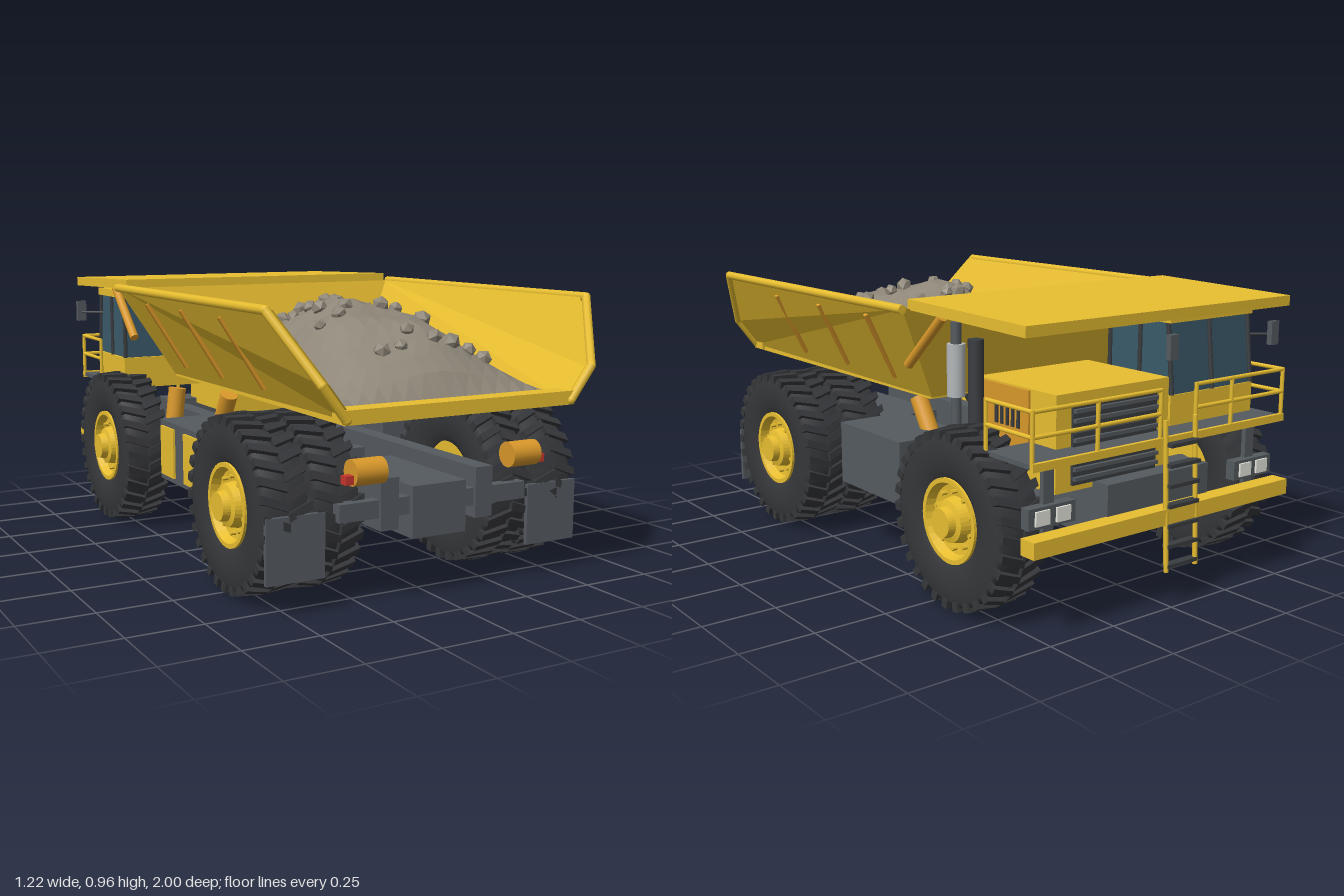
import * as THREE from 'three';
import { mergeGeometries } from 'three/addons/utils/BufferGeometryUtils.js';

const mat = (color, opts = {}) => {
  const m = new THREE.MeshStandardMaterial(opts);
  m.color.set(color);
  return m;
};
const yellow = mat(0xe8be30), panelYellow = mat(0xe8be30, { flatShading: true, side: THREE.DoubleSide });
const orange = mat(0xd9982a), grey = mat(0x555b60), dark = mat(0x3a3d40), rubber = mat(0x36373a);
const glass = mat(0x3b5b6b), silver = mat(0xb4b8ba), red = mat(0xc8352b), white = mat(0xe8e8e0);
const gravel = mat(0x8e8678, { flatShading: true });
const V = (x, y, z) => new THREE.Vector3(x, y, z);

function add(parent, name, geometry, material) {
  const mesh = new THREE.Mesh(geometry, material);
  mesh.name = name;
  parent.add(mesh);
  return mesh;
}
function box(parent, name, material, [x0, x1], [y0, y1], [z0, z1]) {
  const m = add(parent, name, new THREE.BoxGeometry(Math.abs(x1 - x0), y1 - y0, z1 - z0), material);
  m.position.set((x0 + x1) / 2, (y0 + y1) / 2, (z0 + z1) / 2);
  return m;
}
function rod(parent, name, material, a, b, r, sides = 12) {
  const d = b.clone().sub(a);
  const m = add(parent, name, new THREE.CylinderGeometry(r, r, d.length(), sides), material);
  m.position.copy(a).add(b).multiplyScalar(0.5);
  m.quaternion.setFromUnitVectors(V(0, 1, 0), d.normalize());
  return m;
}
function rail(parent, name, material, points, r) {
  for (let i = 1; i < points.length; i++) rod(parent, name, material, points[i - 1], points[i], r, 8);
}
// Flat polygon drawn as a triangle fan from its first point
function panel(parent, name, points) {
  const pos = [];
  for (let i = 1; i < points.length - 1; i++) for (const p of [points[0], points[i], points[i + 1]]) pos.push(p.x, p.y, p.z);
  const g = new THREE.BufferGeometry();
  g.setAttribute('position', new THREE.Float32BufferAttribute(pos, 3));
  g.computeVertexNormals();
  return add(parent, name, g, panelYellow);
}

// Tyre turned around the x axis, with chevron lugs
function tyreGeometry(width) {
  const w = width / 2;
  const profile = [[0.13, -w * 0.75], [0.16, -w * 0.95], [0.21, -w], [0.255, -w * 0.97], [0.272, -w * 0.85], [0.278, 0],
    [0.272, w * 0.85], [0.255, w * 0.97], [0.21, w], [0.16, w * 0.95], [0.13, w * 0.75]];
  const body = new THREE.LatheGeometry(profile.map(p => new THREE.Vector2(...p)), 48).rotateZ(-Math.PI / 2);
  const parts = [body];
  const count = 30;
  for (let i = 0; i < count; i++) for (const s of [-1, 1]) {
    const lug = new THREE.BoxGeometry(w * 1.02, 0.03, 0.027);
    const p = lug.attributes.position;
    for (let k = 0; k < p.count; k++) {
      const outer = p.getX(k) * s > 0;
      p.setZ(k, p.getZ(k) + (outer ? 0.016 : -0.016));
      if (outer) p.setY(k, p.getY(k) - 0.007);
    }
    lug.translate(s * w * 0.49, 0.277, 0).rotateX((i + (s > 0 ? 0.5 : 0)) / count * Math.PI * 2);
    parts.push(lug);
  }
  return mergeGeometries(parts);
}
function rimGeometry() {
  const profile = [[0, -0.05], [0.13, -0.05], [0.137, 0.062], [0.137, 0.075], [0.122, 0.075], [0.112, 0.045],
    [0.075, 0.04], [0.068, 0.075], [0.05, 0.08], [0.046, 0.105], [0, 0.105]];
  const parts = [new THREE.LatheGeometry(profile.map(p => new THREE.Vector2(...p)), 32).toNonIndexed()];
  parts[0].computeVertexNormals();
  for (let i = 0; i < 10; i++) {
    const a = i / 10 * Math.PI * 2;
    parts.push(new THREE.CylinderGeometry(0.007, 0.007, 0.022, 6).toNonIndexed()
      .translate(0.092 * Math.cos(a), 0.05, 0.092 * Math.sin(a)));
  }
  return mergeGeometries(parts).rotateZ(-Math.PI / 2);
}

function buildWheels(root) {
  const tyre = tyreGeometry(0.165), rim = rimGeometry();
  rim.computeVertexNormals();
  for (const s of [-1, 1]) for (const [name, x, z] of [['frontWheel', 0.505, -0.6], ['rearOuterWheel', 0.505, 0.535], ['rearInnerWheel', 0.325, 0.535]]) {
    const wheel = new THREE.Group();
    wheel.name = name;
    wheel.position.set(s * x, 0.291, z);
    wheel.rotation.y = s < 0 ? Math.PI : 0;
    add(wheel, 'tyre', tyre, rubber);
    add(wheel, 'rim', rim, yellow);
    root.add(wheel);
  }
}

function buildChassis(root) {
  const g = new THREE.Group();
  g.name = 'chassis';
  root.add(g);
  for (const s of [-1, 1]) {
    box(g, 'frameRail', grey, [s * 0.145, s * 0.21], [0.235, 0.4], [-0.9, 0.86]);
    box(g, 'sideTank', grey, [s * 0.23, s * 0.5], [0.23, 0.45], [-0.21, 0.17]);
    box(g, 'mudFlap', grey, [s * 0.385, s * 0.585], [0.105, 0.31], [0.81, 0.825]);
    rod(g, 'hoistCylinder', orange, V(s * 0.3, 0.38, -0.14), V(s * 0.3, 0.55, -0.035), 0.032, 16);
    rod(g, 'rearCanister', orange, V(s * 0.235, 0.44, 0.9), V(s * 0.342, 0.44, 0.9), 0.041, 24);
    box(g, 'tailLight', red, [s * 0.342, s * 0.37], [0.408, 0.435], [0.89, 0.92]);
    rod(g, 'frontSuspension', orange, V(s * 0.3, 0.25, -0.6), V(s * 0.27, 0.5, -0.6), 0.035, 16);
  }
  for (const z of [-0.13, 0.08]) box(g, 'tankPanel', yellow, [-0.508, -0.49], [0.25, 0.43], [z - 0.06, z + 0.06]);
  for (const z of [-0.8, -0.3, 0.15]) box(g, 'crossMember', grey, [-0.15, 0.15], [0.27, 0.35], [z - 0.03, z + 0.03]);
  box(g, 'rearCrossBeam', grey, [-0.35, 0.35], [0.275, 0.332], [0.81, 0.85]);
  box(g, 'differential', grey, [-0.1, 0.1], [0.2, 0.367], [0.43, 0.87]);
  for (const z of [-0.6, 0.535]) rod(g, 'axle', grey, V(-0.48, 0.291, z), V(0.48, 0.291, z), 0.05, 16);
}

function gravelHeight(x, z) {
  const u = x / 0.39, v = (z - 0.335) / 0.585;
  const dome = Math.max(0, 1 - u * u) * Math.pow(Math.max(0, 1 - v * v), 0.8);
  return 0.636 + dome * (0.262 + 0.012 * Math.sin(17 * x + 9 * z) + 0.01 * Math.sin(23 * z - 13 * x));
}

function buildTray(root) {
  const g = new THREE.Group();
  g.name = 'dumpTray';
  root.add(g);
  box(g, 'floor', yellow, [-0.41, 0.41], [0.598, 0.634], [-0.27, 0.98]);
  box(g, 'tailLip', yellow, [-0.42, 0.42], [0.602, 0.645], [0.925, 0.995]);
  for (const s of [-1, 1]) {
    const side = off => [V(s * (0.592 - off), 0.925, -0.38), V(s * (0.41 - off), 0.605, -0.275), V(s * (0.41 - off), 0.615, 0.99),
      V(s * (0.49 - off), 0.72, 0.99), V(s * (0.592 - off), 0.925, 0.84)];
    const outer = side(0);
    panel(g, 'outerSide', outer);
    panel(g, 'innerSide', side(0.025));
    rail(g, 'rim', yellow, [outer[0], outer[4], outer[3], outer[2]], 0.015);
    for (const p of outer.slice(2)) add(g, 'rimJoint', new THREE.SphereGeometry(0.015, 12, 8), yellow).position.copy(p);
    for (const z of [0.49, 0.18, -0.13])
      rod(g, 'sideRib', orange, V(s * 0.572, 0.88, z), V(s * 0.436, 0.65, z + 0.036), 0.011, 4);
    rod(g, 'canopyStrut', orange, V(s * 0.545, 0.74, -0.34), V(s * 0.545, 0.915, -0.53), 0.016);
  }
  for (const d of [0, 0.025])
    panel(g, 'headboard', [V(-0.41, 0.605, d - 0.275), V(0.41, 0.605, d - 0.275), V(0.592, 0.925, d - 0.38), V(-0.592, 0.925, d - 0.38)]);
  const canopy = box(g, 'canopy', yellow, [-0.563, 0.563], [0.921, 0.955], [-0.95, -0.365]);
  canopy.rotation.x = -0.026;
  canopy.position.y = 0.93;

  // Heaped load
  const heap = new THREE.PlaneGeometry(0.78, 1.17, 14, 18).rotateX(-Math.PI / 2).translate(0, 0, 0.335);
  const p = heap.attributes.position;
  for (let i = 0; i < p.count; i++) p.setY(i, gravelHeight(p.getX(i), p.getZ(i)));
  heap.computeVertexNormals();
  add(g, 'gravelHeap', heap, gravel);
  const rocks = [[-0.27, 0], [-0.13, 0.06], [-0.06, 0.07], [0.13, -0.06], [0.2, -0.07], [0.13, 0.06], [0.27, 0.07], [0, 0],
    [-0.13, 0.14], [0, 0.14], [0.06, 0.13], [0, 0.2], [0.13, 0.2], [-0.13, 0.26], [-0.13, 0.33], [-0.27, 0.4], [-0.07, 0.4],
    [0.07, 0.4], [0.13, 0.4], [0.27, 0.4], [-0.2, 0.46], [-0.13, 0.46], [0.2, 0.46], [0, 0.67], [-0.13, 0.73], [-0.06, 0.73],
    [0.07, 0.72], [0.13, 0.73], [0.2, 0.73], [0.26, 0.73]];
  const rockGeometry = new THREE.IcosahedronGeometry(1, 0);
  rocks.forEach(([x, z], i) => {
    const r = add(g, 'rock', rockGeometry, gravel);
    r.position.set(x, gravelHeight(x, z) + 0.004, z);
    r.rotation.set(i * 1.3, i * 2.1, i * 0.7);
    r.scale.setScalar(0.024 + 0.004 * ((i * 7) % 5) / 2);
  });
}

function buildCabAndNose(root) {
  const g = new THREE.Group();
  g.name = 'cabAndNose';
  root.add(g);
  // Engine hood, side vents and grille
  box(g, 'engineHood', yellow, [-0.1, 0.37], [0.4, 0.705], [-0.86, -0.475]);
  box(g, 'hoodSidePanel', orange, [0.365, 0.378], [0.5, 0.7], [-0.74, -0.475]);
  for (let i = 0; i < 5; i++) box(g, 'hoodVent', dark, [0.375, 0.383], [0.575, 0.645], [-0.7 + i * 0.027, -0.688 + i * 0.027]);
  box(g, 'grille', dark, [-0.04, 0.31], [0.42, 0.67], [-0.87, -0.855]);
  for (let i = 0; i < 8; i++) box(g, 'grilleSlat', grey, [-0.04, 0.31], [0.435 + i * 0.03, 0.447 + i * 0.03], [-0.882, -0.865]);
  // Operator cab
  box(g, 'cabBase', yellow, [-0.51, -0.12], [0.52, 0.64], [-0.85, -0.55]);
  const windows = box(g, 'cabWindows', glass, [-0.5, -0.13], [0.64, 0.875], [-0.845, -0.56]);
  const p = windows.geometry.attributes.position;
  for (let i = 0; i < p.count; i++) if (p.getY(i) > 0 && p.getZ(i) < 0) p.setZ(i, p.getZ(i) + 0.025);
  box(g, 'cabRoof', yellow, [-0.51, -0.12], [0.872, 0.9], [-0.84, -0.55]);
  for (const x of [-0.503, -0.315, -0.127]) rod(g, 'windscreenPillar', dark, V(x, 0.64, -0.848), V(x, 0.875, -0.823), 0.008, 6);
  for (const x of [-0.503, -0.127]) for (const z of [-0.7, -0.558]) rod(g, 'cabPillar', dark, V(x, 0.64, z), V(x, 0.875, z), 0.008, 6);
  for (const x of [-0.572, -0.09]) {
    box(g, 'mirror', grey, [x - 0.018, x + 0.018], [0.765, 0.845], [-0.89, -0.87]);
    rod(g, 'mirrorArm', dark, V(x, 0.8, -0.875), V(x < -0.3 ? -0.5 : -0.13, 0.8, -0.82), 0.005, 6);
  }
  // Exhaust stacks
  rod(g, 'exhaust', silver, V(0.43, 0.64, -0.44), V(0.43, 0.81, -0.44), 0.03, 20);
  rod(g, 'exhaustPipe', grey, V(0.43, 0.52, -0.44), V(0.43, 0.88, -0.44), 0.017);
  rod(g, 'airIntake', dark, V(0.4, 0.56, -0.505), V(0.4, 0.83, -0.505), 0.026, 16);
  // Deck, bumper and lamps
  box(g, 'deck', grey, [-0.54, 0.54], [0.525, 0.54], [-0.955, -0.74]);
  box(g, 'deckEdge', yellow, [-0.545, 0.545], [0.52, 0.545], [-0.965, -0.952]);
  box(g, 'bumper', yellow, [-0.555, 0.555], [0.268, 0.32], [-0.985, -0.925]);
  box(g, 'noseBlock', grey, [-0.22, 0.22], [0.28, 0.42], [-0.93, -0.8]);
  for (const s of [-1, 1]) {
    box(g, 'lampHousing', grey, [s * 0.35, s * 0.53], [0.335, 0.4], [-0.93, -0.895]);
    box(g, 'lampBracket', grey, [s * 0.42, s * 0.46], [0.3, 0.53], [-0.912, -0.895]);
    for (const x of [0.4, 0.48]) box(g, 'headlight', white, [s * (x - 0.027), s * (x + 0.027)], [0.345, 0.39], [-0.937, -0.928]);
    // Handrails on each side of the ladder
    const inner = s > 0 ? 0.03 : -0.125;
    for (const y of [0.62, 0.695]) rail(g, 'handrail', yellow, [V(s * 0.54, y, -0.74), V(s * 0.54, y, -0.955), V(inner, y, -0.955)], 0.007);
    for (const [x, z] of [[s * 0.54, -0.74], [s * 0.54, -0.955], [s * 0.29, -0.955], [inner, -0.955]])
      rod(g, 'handrailPost', yellow, V(x, 0.53, z), V(x, 0.7, z), 0.007, 8);
  }
  // Ladder
  for (const x of [-0.113, 0.018]) rod(g, 'ladderRail', yellow, V(x, 0.115, -0.988), V(x, 0.6, -0.965), 0.008, 8);
  for (let i = 0; i < 7; i++) box(g, 'ladderRung', dark, [-0.113, 0.018], [0.127 + i * 0.065, 0.139 + i * 0.065], [-0.996, -0.968]);
}

export function createModel() {
  const root = new THREE.Group();
  root.name = 'haulTruck';
  buildWheels(root);
  buildChassis(root);
  buildTray(root);
  buildCabAndNose(root);
  return root;
}
